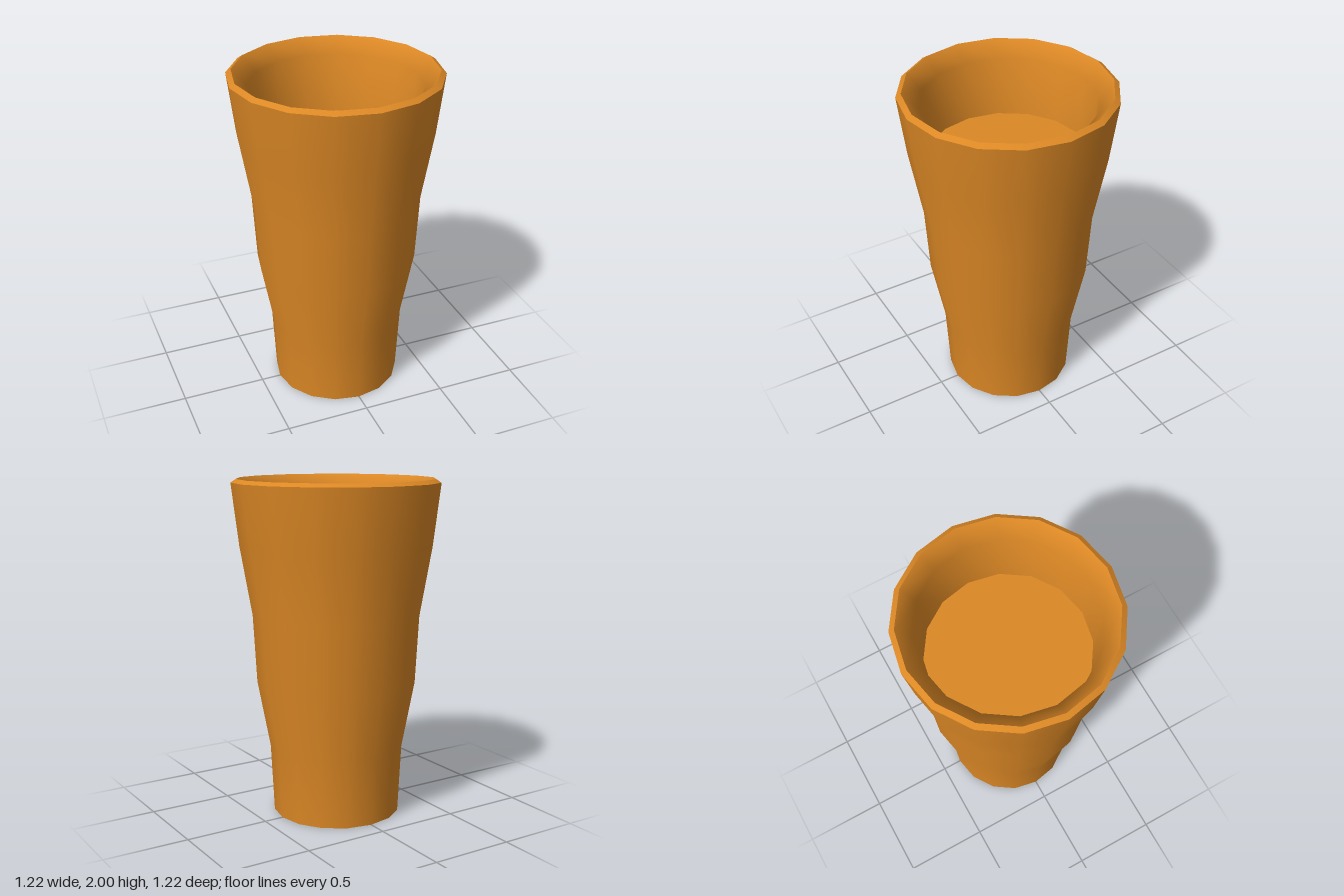
import * as THREE from 'three';

const SIDES = 16;

export function createModel() {
  const model = new THREE.Group();
  model.name = 'tumbler';

  const amber = new THREE.MeshStandardMaterial({ color: 0xdc8825, side: THREE.DoubleSide });
  amber.name = 'amber';

  const add = (name, geometry) => {
    const mesh = new THREE.Mesh(geometry, amber);
    mesh.name = name;
    model.add(mesh);
    return mesh;
  };
  // Profiles are [radius, height] pairs turned around the y axis
  const turn = (name, profile) =>
    add(name, new THREE.LatheGeometry(profile.map(([r, y]) => new THREE.Vector2(r, y)), SIDES));

  // Wavy outer wall, open underneath
  turn('outerWall', [[0.382, 0], [0.402, 0.41], [0.476, 0.81], [0.497, 1.21], [0.567, 1.62], [0.61, 1.98]]);

  // Bevelled lip, with its own normals so the edges stay sharp
  turn('rim', [[0.61, 1.98], [0.58, 2]]);

  // Inside of the mouth, down to the filling
  turn('innerWall', [[0.58, 2], [0.497, 1.91], [0.467, 1.56]]);

  // Flat surface of the filling
  const surface = add('fillingSurface', new THREE.CircleGeometry(0.467, SIDES).rotateX(-Math.PI / 2));
  surface.position.y = 1.56;

  return model;
}
